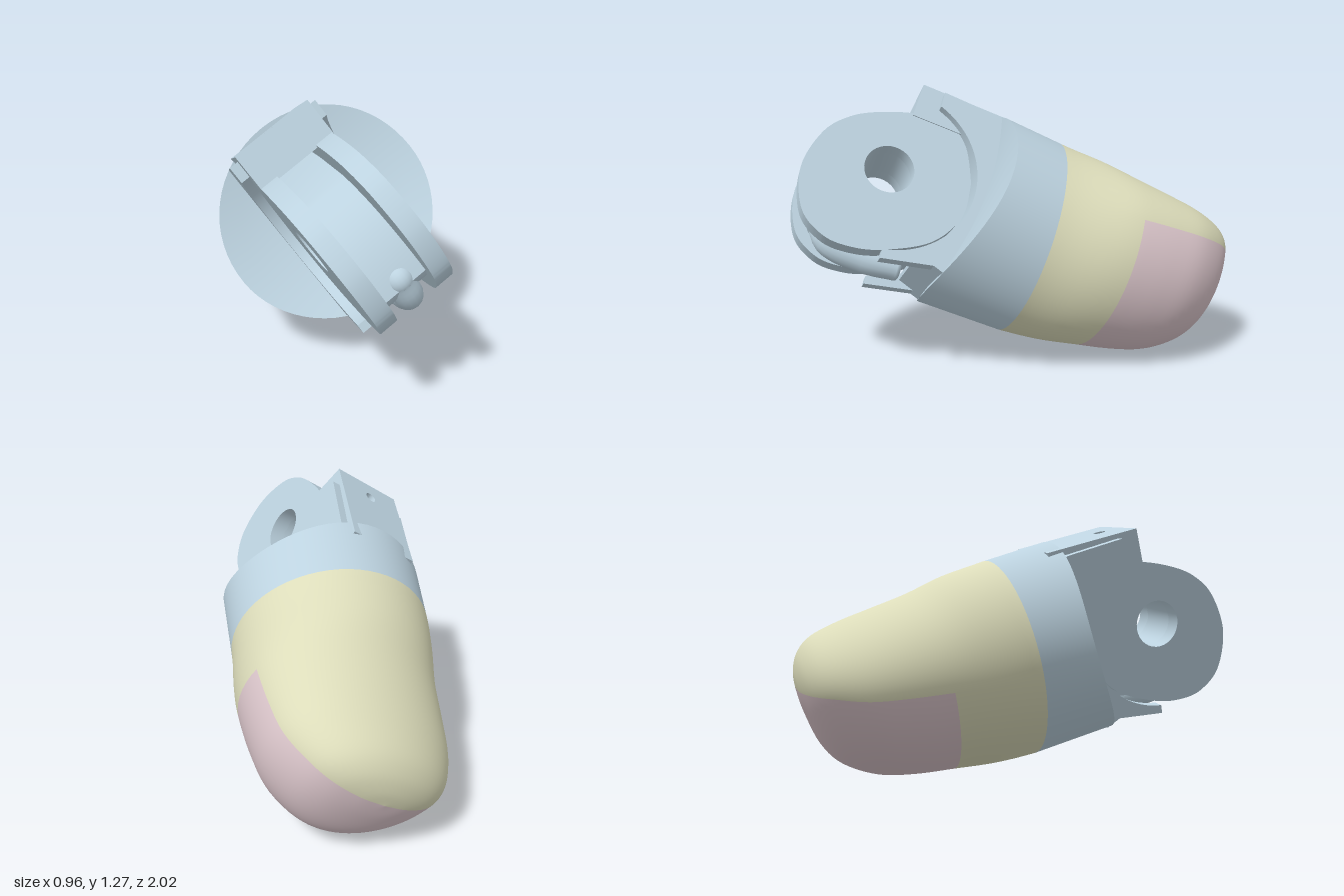
import * as THREE from 'three';
import { toCreasedNormals } from 'three/addons/utils/BufferGeometryUtils.js';

const SIDES = 64;
const KNUCKLE = { z: 0.71, y: 0.02 }; // pin axis, runs along local x
const SEAT = 0.385; // radius of the round seat behind the discs

function material(name, color) {
  const m = new THREE.MeshStandardMaterial({ color });
  m.name = name;
  return m;
}

// Skin closed rings together; pick(i, j) gives the material group of each quad
function loft(rings, pick = () => 0) {
  const geo = new THREE.BufferGeometry();
  const groups = [[], []];
  for (let i = 0; i < rings.length - 1; i++) {
    for (let j = 0; j < SIDES; j++) {
      const a = i * SIDES + j, b = i * SIDES + (j + 1) % SIDES;
      groups[pick(i, j)].push(a, a + SIDES, b, b, a + SIDES, b + SIDES);
    }
  }
  geo.setAttribute('position', new THREE.Float32BufferAttribute(rings.flat(2), 3));
  geo.setIndex(groups.flat());
  geo.addGroup(0, groups[0].length, 0);
  if (groups[1].length) geo.addGroup(groups[0].length, groups[1].length, 1);
  geo.computeVertexNormals();
  return geo;
}

function ring(fn) {
  return Array.from({ length: SIDES }, (_, j) => fn((j / SIDES) * Math.PI * 2));
}

// Extrude a side profile drawn in (z, y) across the width x0..x1
function sideExtrude(shape, x0, x1) {
  const geo = new THREE.ExtrudeGeometry(shape, { depth: x1 - x0, bevelEnabled: false, curveSegments: 16 });
  geo.rotateY(-Math.PI / 2).translate(x1, 0, 0);
  return toCreasedNormals(geo, 0.5);
}

function pinHole() {
  return new THREE.Path().absarc(KNUCKLE.z, KNUCKLE.y, 0.11, 0, Math.PI * 2, true);
}

// Angle on the upper half of the seat circle at a given z
const seatAngle = z => Math.acos((z - KNUCKLE.z) / SEAT);

export function createModel() {
  const blue = material('paleBlue', 0xbcd2df);
  const yellow = material('paleYellow', 0xdcdcba);
  const pink = material('palePink', 0xdac5ca);

  // Local frame: finger points along -z, pin axis along x
  const finger = new THREE.Group();
  finger.name = 'finger';
  finger.rotation.set(-0.358, 0, 0.602);
  finger.position.set(-0.01, 0.575, -0.06);
  const add = (name, geo, mat) => {
    const mesh = new THREE.Mesh(geo, mat);
    mesh.name = name;
    finger.add(mesh);
    return mesh;
  };

  // Fingertip stations: z, centre height, half width, top, bottom
  const stations = [
    [0, 0, 0.465, 0.458, 0.458],
    [-0.2, 0, 0.46, 0.43, 0.453],
    [-0.37, 0.02, 0.453, 0.385, 0.433],
    [-0.55, 0.04, 0.436, 0.355, 0.404],
    [-0.7, 0.06, 0.405, 0.33, 0.36],
    [-0.83, 0.09, 0.33, 0.295, 0.275],
    [-0.9, 0.1, 0.24, 0.24, 0.165],
    [-0.935, 0.1, 0.12, 0.17, 0.01],
    [-0.945, 0.1, 0, 0.1, -0.1],
  ];
  const placing = new THREE.CatmullRomCurve3(stations.map(s => new THREE.Vector3(s[0], s[1], 0)), false, 'catmullrom', 0.5);
  const sizing = new THREE.CatmullRomCurve3(stations.map(s => new THREE.Vector3(s[2], s[3], s[4])), false, 'catmullrom', 0.5);
  const PER = 5, rows = (stations.length - 1) * PER;
  const tipRings = [];
  for (let i = 0; i <= rows; i++) {
    const p = placing.getPoint(i / rows), s = sizing.getPoint(i / rows);
    const lean = 0.005 + 0.037 * THREE.MathUtils.smoothstep(-p.x, 0, 0.4);
    tipRings.push(ring(t => {
      const h = Math.sin(t);
      return [lean + s.x * Math.cos(t), p.y + h * (h > 0 ? s.y - p.y : s.z + p.y), p.x];
    }));
  }
  // Pink pad underneath, yellow collar and nail side
  const isPad = (i, j) => (i >= 2 * PER && j >= SIDES / 2 ? 1 : 0);
  add('fingertip', loft(tipRings, isPad), [yellow, pink]);

  // Shoulder: flared at the sides and top, scooped out at the front
  const scoop = (x, y) => 0.275 + 0.34 * (y - 0.2) ** 2 - 0.17 * x * x;
  const capRings = [0, 0.2, 0.4, 0.6, 0.8, 1].map(k => ring(t => {
    const h = Math.sin(t);
    const x = 0.005 + 0.485 * k * Math.cos(t), y = (h > 0 ? 0.485 : 0.435) * k * h;
    return [x, y, scoop(x, y)];
  }));
  const backRing = ring(t => [0.005 + 0.465 * Math.cos(t), 0.458 * Math.sin(t), 0]);
  add('shoulder', toCreasedNormals(loft([...capRings, backRing]), 0.6), blue);

  // Collar plate with a round seat behind the knuckle discs
  const collar = new THREE.Shape();
  collar.moveTo(0.2, 0.36);
  collar.lineTo(0.2, -0.36);
  collar.lineTo(0.36, -0.39);
  collar.lineTo(0.5, -0.335);
  collar.absarc(KNUCKLE.z, KNUCKLE.y, SEAT, 2 * Math.PI - seatAngle(0.5), seatAngle(0.57), true);
  collar.lineTo(0.57, 0.455);
  collar.lineTo(0.29, 0.432);
  add('collar', sideExtrude(collar, -0.22, 0.22), blue);

  // Thin lugs that carry the seat forward under each disc
  const lug = new THREE.Shape();
  lug.moveTo(0.4, -0.36);
  lug.lineTo(0.65, -0.4);
  lug.absarc(KNUCKLE.z, KNUCKLE.y, SEAT, 2 * Math.PI - seatAngle(0.65), 2 * Math.PI - seatAngle(0.45), true);
  for (const [name, x] of [['leftLug', 0.165], ['rightLug', -0.22]]) {
    add(name, sideExtrude(lug, x, x + 0.055), blue);
  }

  // Pair of knuckle discs, flattened towards the upper front, with a pin hole
  const outline = [
    [0.345, 0.08], [0.35, -0.09], [0.45, -0.245], [0.64, -0.345], [0.78, -0.375], [0.9, -0.36],
    [1.01, -0.275], [1.065, -0.095], [1.025, 0.09], [0.94, 0.2], [0.826, 0.27], [0.67, 0.325],
    [0.52, 0.34], [0.41, 0.25], [0.345, 0.08],
  ].map(p => new THREE.Vector2(...p));
  const disc = new THREE.Shape();
  disc.moveTo(outline[0].x, outline[0].y);
  disc.splineThru(outline.slice(1));
  disc.holes.push(pinHole());
  for (const [name, x] of [['leftKnuckleDisc', 0.095], ['rightKnuckleDisc', -0.18]]) {
    add(name, sideExtrude(disc, x, x + 0.08), blue);
  }

  // Web filling the slot between the discs
  const web = new THREE.Shape();
  web.moveTo(0.3, -0.34);
  web.lineTo(0.5, -0.3);
  web.quadraticCurveTo(0.86, -0.36, 0.96, -0.26);
  web.quadraticCurveTo(0.97, 0.05, 0.76, 0.18);
  web.lineTo(0.55, 0.26);
  web.lineTo(0.3, 0.32);
  web.holes.push(pinHole());
  add('knuckleWeb', sideExtrude(web, -0.1, 0.1), blue);

  // Stop block on top with a small drilled hole (plan drawn in x, z)
  const plan = new THREE.Shape();
  plan.moveTo(-0.18, 0.22);
  plan.lineTo(0.18, 0.22);
  plan.lineTo(0.18, 0.67);
  plan.lineTo(-0.18, 0.67);
  plan.holes.push(new THREE.Path().absarc(0, 0.57, 0.028, 0, Math.PI * 2, true));
  const block = new THREE.ExtrudeGeometry(plan, { depth: 0.17, bevelEnabled: false });
  block.rotateX(Math.PI / 2 - 0.05).translate(0, 0.448, 0);
  add('stopBlock', toCreasedNormals(block, 0.5), blue);

  // Cable guide sunk into the lower front of the web
  const path = new THREE.CatmullRomCurve3([
    new THREE.Vector3(0, -0.23, 0.92),
    new THREE.Vector3(0, -0.32, 0.86),
    new THREE.Vector3(0, -0.35, 0.7),
    new THREE.Vector3(0, -0.34, 0.55),
  ]);
  add('cableGuide', new THREE.TubeGeometry(path, 20, 0.06, 16), blue);
  const cap = add('cableGuideCap', new THREE.SphereGeometry(0.06, 20, 14), blue);
  cap.position.copy(path.getPoint(0));
  const lip = add('cableGuideLip', new THREE.TorusGeometry(0.042, 0.018, 10, 24), blue);
  lip.position.copy(path.getPoint(1));
  lip.quaternion.setFromUnitVectors(new THREE.Vector3(0, 0, 1), path.getTangent(1));

  const model = new THREE.Group();
  model.name = 'fingerSegment';
  model.add(finger);
  return model;
}
